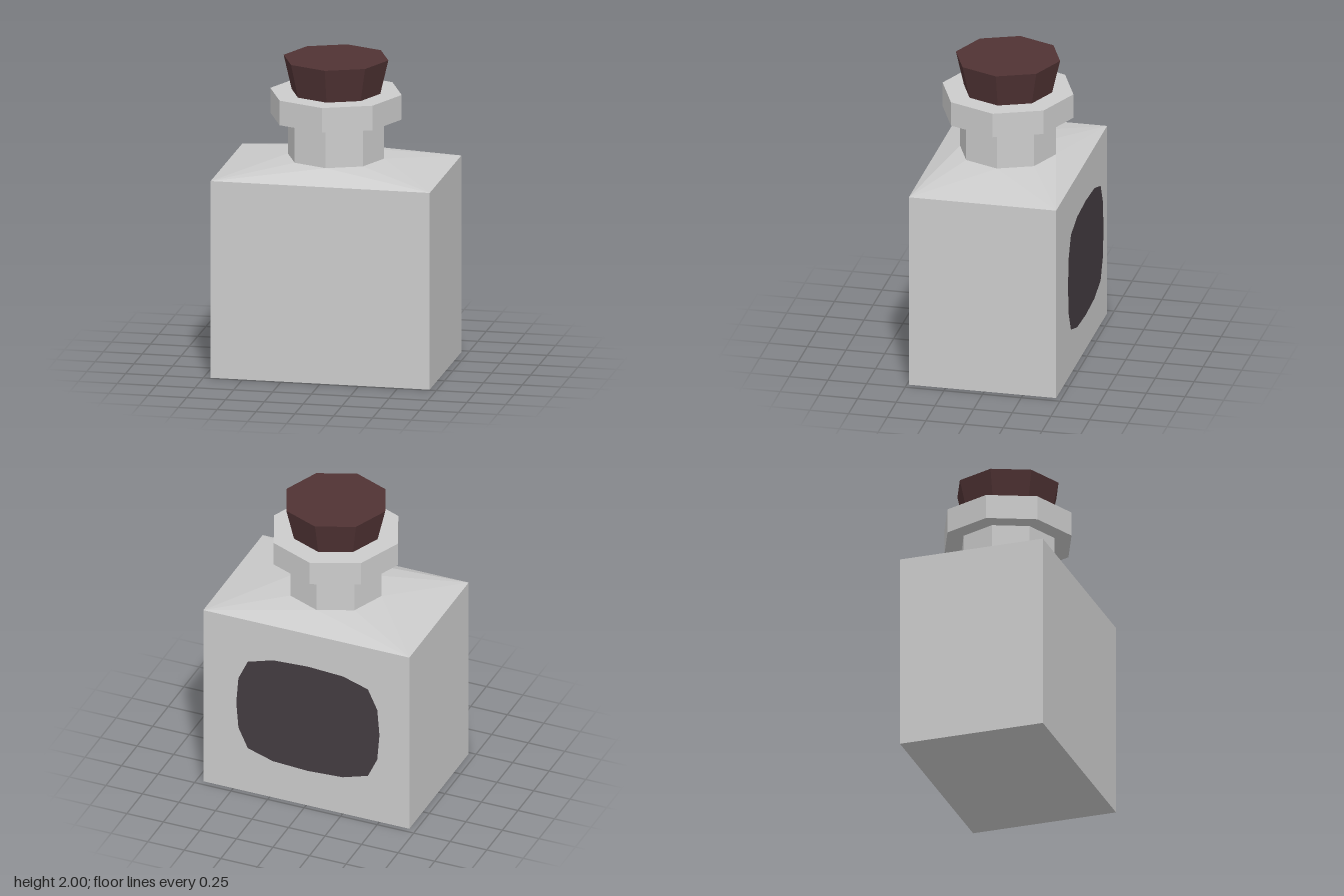
import * as THREE from 'three';

const CZ = 0.011; // bottle axis; the label stands slightly off the back
const W = 0.705, D = 0.476, BODY_H = 1.28, SHOULDER_Y = 1.36, NECK_R = 0.31;

const glass = new THREE.MeshStandardMaterial({ color: 0xcccccc, flatShading: true });
const cork = new THREE.MeshStandardMaterial({ color: 0x503334, flatShading: true });
const paper = new THREE.MeshStandardMaterial({ color: 0x443c41, flatShading: true, side: THREE.DoubleSide });

// Eight-sided drum between two heights
function drum(name, rTop, rBottom, y0, y1, material) {
  const mesh = new THREE.Mesh(new THREE.CylinderGeometry(rTop, rBottom, y1 - y0, 8), material);
  mesh.name = name;
  mesh.position.set(0, (y0 + y1) / 2, CZ);
  return mesh;
}

// Sloping faces from the rectangular body to the octagonal neck
function shoulderGeometry() {
  const ring = (k) => {
    const a = (k * Math.PI) / 4;
    return [NECK_R * Math.sin(a), SHOULDER_Y, NECK_R * Math.cos(a)];
  };
  const corner = (j) => {
    const a = ((2 * j + 1) * Math.PI) / 4;
    return [W * Math.sign(Math.sin(a)), BODY_H, D * Math.sign(Math.cos(a))];
  };
  const p = [];
  for (let j = 0; j < 4; j++) {
    const k = 2 * j;
    p.push(...corner(j), ...ring(k + 1), ...ring(k));
    p.push(...corner(j), ...ring(k + 2), ...ring(k + 1));
    p.push(...corner(j), ...corner(j + 1), ...ring(k + 2));
  }
  const g = new THREE.BufferGeometry();
  g.setAttribute('position', new THREE.Float32BufferAttribute(p, 3));
  g.computeVertexNormals();
  return g;
}

// Rounded sixteen-sided outline, mirrored from one quarter
function labelGeometry() {
  const q = [[0.49, 0], [0.475, 0.185], [0.411, 0.323], [0.24, 0.377], [0, 0.39]];
  const half = [...q, ...q.slice(0, 4).reverse().map(([x, y]) => [-x, y])];
  const all = [...half, ...half.slice(1, -1).reverse().map(([x, y]) => [x, -y])];
  return new THREE.ShapeGeometry(new THREE.Shape(all.map(([x, y]) => new THREE.Vector2(x, y))));
}

export function createModel() {
  const group = new THREE.Group();
  group.name = 'bottle';

  const body = new THREE.Mesh(new THREE.BoxGeometry(2 * W, BODY_H, 2 * D), glass);
  body.name = 'body';
  body.position.set(0, BODY_H / 2, CZ);

  const shoulder = new THREE.Mesh(shoulderGeometry(), glass);
  shoulder.name = 'shoulder';
  shoulder.position.z = CZ;

  // Label faces backwards
  const label = new THREE.Mesh(labelGeometry(), paper);
  label.name = 'label';
  label.rotation.y = Math.PI;
  label.position.set(-0.02, 0.663, -0.487);

  group.add(
    body,
    shoulder,
    drum('neck', NECK_R, NECK_R, SHOULDER_Y, 1.62, glass),
    drum('collar', 0.423, 0.423, 1.62, 1.78, glass),
    drum('stopper', 0.337, 0.285, 1.78, 2, cork),
    label
  );
  return group;
}
